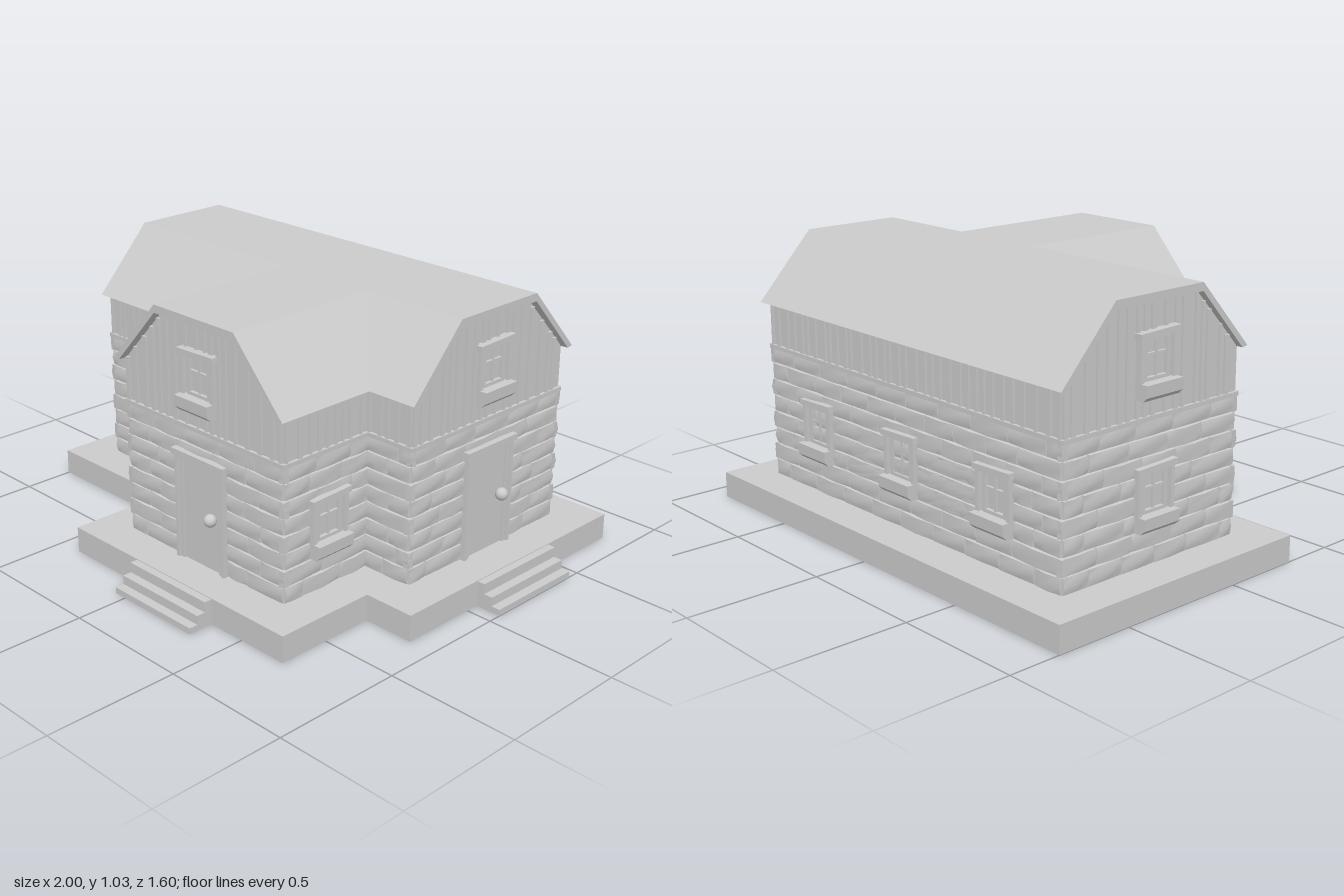
import * as THREE from 'three';
import { mergeGeometries } from 'three/addons/utils/BufferGeometryUtils.js';

const mat = new THREE.MeshStandardMaterial({ color: 0xcccccc, side: THREE.DoubleSide });

const BASE_H = 0.1, BRICK_TOP = 0.612, EAVE = 0.78, RIDGE = 1.03;
const ROWS = 8, ROW_H = (BRICK_TOP - BASE_H) / ROWS;

// small seeded generator for irregular bricks and battens
let seed = 7;
const rnd = () => (seed = (seed * 16807) % 2147483647) / 2147483647;

function add(parent, name, geo) {
  const m = new THREE.Mesh(geo, mat);
  m.name = name;
  parent.add(m);
  return m;
}
const box = (w, h, d, x, y, z) => new THREE.BoxGeometry(w, h, d).translate(x, y, z);

// T-shaped footprint of the house, grown outward by o
function outline(o) {
  return [[-0.85 - o, -0.65 - o], [0.75 + o, -0.65 - o], [0.75 + o, 0.15 + o], [0.55 + o, 0.15 + o],
    [0.55 + o, 0.55 + o], [-0.25 - o, 0.55 + o], [-0.25 - o, 0.15 + o], [-0.85 - o, 0.15 + o]];
}

// Open-bottomed plinth around the house
function plinth() {
  const toV = (pts) => pts.map(([x, z]) => new THREE.Vector2(x, -z));
  const shape = new THREE.Shape(toV(outline(0.15)));
  shape.holes.push(new THREE.Path(toV(outline(-0.015))));
  const parts = [new THREE.ShapeGeometry(shape).rotateX(-Math.PI / 2).translate(0, BASE_H, 0)];
  const pts = outline(0.15);
  pts.forEach(([x, z], i) => {
    const [x2, z2] = pts[(i + 1) % pts.length];
    const dx = x2 - x, dz = z2 - z;
    parts.push(new THREE.PlaneGeometry(Math.hypot(dx, dz), BASE_H)
      .rotateY(Math.PI - Math.atan2(dz, dx))
      .translate((x + x2) / 2, BASE_H / 2, (z + z2) / 2));
  });
  return mergeGeometries(parts);
}

// Brick with a bulging, slightly uneven outer face
function brick(w, x, y) {
  const g = new THREE.BoxGeometry(w, ROW_H, 0.026, 2, 2, 1);
  const p = g.attributes.position, a = rnd() * 9;
  for (let i = 0; i < p.count; i++) {
    if (p.getZ(i) < 0) continue;
    const u = Math.sign(Math.round(p.getX(i) * 1e4)), v = Math.sign(Math.round(p.getY(i) * 1e4));
    p.setXYZ(i, p.getX(i) - u * 0.002, p.getY(i) - v * 0.003,
      0.013 - 0.004 * (Math.abs(u) + Math.abs(v)) + 0.003 * Math.sin(a + u * 2 + v * 3));
  }
  g.computeVertexNormals();
  return g.translate(x, y, 0);
}

// Running-bond courses that leave gaps at the openings { u, w, y0, y1 }
function brickwork(L, openings) {
  const parts = [];
  for (let r = 0; r < ROWS; r++) {
    const y = BASE_H + (r + 0.5) * ROW_H, ext = r % 2 ? 0.01 : 0;
    let spans = [[-L / 2 - ext, L / 2 + ext]];
    for (const o of openings) {
      if (y < o.y0 || y > o.y1) continue;
      spans = spans.flatMap(([a, b]) => [[a, o.u - o.w / 2], [o.u + o.w / 2, b]]);
    }
    for (const [a, b] of spans) {
      let x = a, first = r % 2 === 0;
      while (b - x > 1e-4) {
        let w = (first ? 0.085 : 0.15) + rnd() * 0.035;
        if (b - x - w < 0.06) w = b - x;
        parts.push(brick(w, x + w / 2, y));
        x += w;
        first = false;
      }
    }
  }
  return mergeGeometries(parts);
}

// Underside height of the gable roof at distance u from its middle
const gableY = (u) => Math.min(1.0, 1.0 - (Math.abs(u) - 0.195) * 1.06);

// Boarded upper wall with irregular battens and a ledge at its foot
function boards(g, L, gable) {
  const h = L / 2, s = new THREE.Shape();
  s.moveTo(-h, BRICK_TOP);
  s.lineTo(h, BRICK_TOP);
  s.lineTo(h, 0.783);
  if (gable) { s.lineTo(0.195, 1.0); s.lineTo(-0.195, 1.0); }
  s.lineTo(-h, 0.783);
  if (gable) {
    const hole = new THREE.Path();
    hole.moveTo(-0.07, 0.71); hole.lineTo(-0.07, 0.89); hole.lineTo(0.07, 0.89); hole.lineTo(0.07, 0.71);
    s.holes.push(hole);
  }
  add(g, 'upperWall', new THREE.ShapeGeometry(s));
  const parts = [box(L + 0.016, 0.016, 0.016, 0, BRICK_TOP, 0.004)];
  const batten = (u, w, y0, y1) => parts.push(box(w, y1 - y0, 0.012, u, (y0 + y1) / 2, 0.003));
  for (let u = -h + 0.008; u < h; u += 0.028 + rnd() * 0.035) {
    const w = 0.008 + rnd() * 0.012;
    const top = gable ? gableY(Math.abs(u) + w / 2) : 0.783;
    if (gable && Math.abs(u) < 0.09) {
      batten(u, w, BRICK_TOP, 0.69);
      batten(u, w, 0.9, top);
    } else batten(u, w, BRICK_TOP, top);
  }
  add(g, 'battens', mergeGeometries(parts));
}

// Window with pane, bars, lintel and a planter box below
function windowUnit(y0) {
  const g = new THREE.Group();
  g.name = 'window';
  g.position.y = y0;
  add(g, 'pane', new THREE.PlaneGeometry(0.15, 0.2).translate(0, 0.12, 0.002));
  add(g, 'frame', mergeGeometries([
    ...[-1, 1].flatMap((s) => [
      box(0.016, 0.215, 0.04, s * 0.076, 0.11, 0.006),
      box(0.014, 0.16, 0.024, s * 0.052, 0.125, 0.004)]),
    box(0.11, 0.014, 0.024, 0, 0.198, 0.004),
    box(0.11, 0.016, 0.024, 0, 0.062, 0.004)]));
  add(g, 'bars', mergeGeometries([
    box(0.008, 0.14, 0.016, 0, 0.13, 0.004), box(0.1, 0.008, 0.016, 0, 0.145, 0.004)]));
  add(g, 'lintel', box(0.184, 0.022, 0.045, 0, 0, 0).rotateZ(0.03).translate(0, 0.214, 0.01));
  const prof = new THREE.Shape([[0, 0], [0.035, 0], [0.052, 0.016], [0.054, 0.058], [0, 0.058]]
    .map(([z, y]) => new THREE.Vector2(-z, y)));
  add(g, 'planter', new THREE.ExtrudeGeometry(prof, { depth: 0.168, bevelEnabled: false })
    .rotateY(Math.PI / 2).translate(-0.084, 0, 0));
  // profile lies along -x, so the quarter turn carries it outward to +z
  return g;
}

// Plank door with doubled jambs, lintel and round knob
function doorUnit() {
  const g = new THREE.Group();
  g.name = 'door';
  add(g, 'doorPanel', box(0.2, 0.4, 0.02, 0, 0.3, 0));
  add(g, 'doorFrame', mergeGeometries([-1, 1].flatMap((s) => [
    box(0.014, 0.4, 0.04, s * 0.118, 0.3, 0.006), box(0.014, 0.4, 0.03, s * 0.1, 0.3, 0.004)])));
  add(g, 'doorLintel', mergeGeometries([
    box(0.27, 0.024, 0.05, 0, 0.51, 0.008), box(0.22, 0.014, 0.034, 0, 0.491, 0.004)]));
  add(g, 'knob', new THREE.SphereGeometry(0.024, 16, 12).translate(0.064, 0.305, 0.03));
  add(g, 'knobStem', new THREE.CylinderGeometry(0.01, 0.01, 0.02, 10)
    .rotateX(Math.PI / 2).translate(0.064, 0.305, 0.014));
  return g;
}

// One whole wall, built facing +z and turned into place
function wall(name, x, z, turn, L, { gable = false, door = false, windows = [] } = {}) {
  const g = new THREE.Group();
  g.name = name;
  const openings = windows.map((u) => ({ u, w: 0.145, y0: 0.24, y1: 0.44 }));
  if (door) openings.push({ u: 0, w: 0.23, y0: 0, y1: 0.5 });
  add(g, 'bricks', brickwork(L, openings));
  boards(g, L, gable);
  for (const u of windows) {
    const w = windowUnit(0.232);
    w.position.x = u;
    g.add(w);
  }
  if (gable) g.add(windowUnit(0.682));
  if (door) g.add(doorUnit());
  g.position.set(x, 0, z);
  g.rotation.y = turn;
  return g;
}

// Three steps descending toward +z
function steps() {
  return mergeGeometries([[0.03, 0.097], [0.065, 0.058], [0.1, 0.024]]
    .map(([d, h]) => box(0.4, h, d, 0, h / 2, d / 2)));
}

// Roof slab from four corners, each given as [outer xyz, inner xyz]
function slab(c) {
  const pos = [];
  const quad = (a, b, d, e) => [a, b, d, a, d, e].forEach((p) => pos.push(...p));
  quad(...c.map((p) => p.slice(0, 3)));
  quad(...c.map((p) => p.slice(3)));
  c.forEach((p, i) => {
    const q = c[(i + 1) % 4];
    quad(p.slice(0, 3), q.slice(0, 3), q.slice(3), p.slice(3));
  });
  const g = new THREE.BufferGeometry();
  g.setAttribute('position', new THREE.Float32BufferAttribute(pos, 3));
  g.computeVertexNormals();
  return g;
}

// Flat-topped roof over the main house and the front wing
function roof() {
  const R = (x, z) => [x, RIDGE, z, x, RIDGE - 0.03, z];
  const E = (x, z, dx, dz) => [x, EAVE, z, x + dx, EAVE - 0.004, z + dz];
  const x0 = -0.875, x1 = 0.78, zf = 0.585, t = 0.025;
  const parts = [
    slab([R(x0, -0.05), R(x1, -0.05), R(x1, -0.45), R(x0, -0.45)]),
    slab([R(-0.05, zf), R(0.35, zf), R(0.35, -0.05), R(-0.05, -0.05)]),
    slab([R(x0, -0.45), R(x1, -0.45), E(x1, -0.68, 0, t), E(x0, -0.68, 0, t)])];
  for (const s of [-1, 1]) {
    const end = s < 0 ? x0 : x1, ridge = 0.15 + s * 0.2, eave = 0.15 + s * 0.43;
    const valley = E(eave, 0.18, -s * t, -t);
    const main = [R(end, -0.05), E(end, 0.18, 0, -t), valley, R(ridge, -0.05)];
    const wing = [R(ridge, -0.05), valley, E(eave, zf, -s * t, 0), R(ridge, zf)];
    parts.push(slab(s < 0 ? main : main.reverse()), slab(s < 0 ? wing : wing.reverse()));
  }
  return mergeGeometries(parts);
}

export function createModel() {
  seed = 7;
  const model = new THREE.Group();
  model.name = 'house';
  const q = Math.PI / 2;
  add(model, 'plinth', plinth());
  add(model, 'frontSteps', steps()).position.set(0.15, 0, 0.7);
  const side = add(model, 'sideSteps', steps());
  side.position.set(0.9, 0, -0.25);
  side.rotation.y = q;
  model.add(
    wall('wingFrontWall', 0.15, 0.55, 0, 0.8, { gable: true, door: true }),
    wall('leftEndWall', 0.75, -0.25, q, 0.8, { gable: true, door: true }),
    wall('rightEndWall', -0.85, -0.25, -q, 0.8, { gable: true, windows: [0] }),
    wall('backWall', -0.05, -0.65, 2 * q, 1.6, { windows: [-0.495, 0, 0.495] }),
    wall('frontRightWall', -0.55, 0.15, 0, 0.6, { windows: [0] }),
    wall('frontLeftWall', 0.65, 0.15, 0, 0.2),
    wall('wingLeftWall', 0.55, 0.35, q, 0.4, { windows: [0] }),
    wall('wingRightWall', -0.25, 0.35, -q, 0.4, { windows: [0] }));
  add(model, 'roof', roof());
  return model;
}
